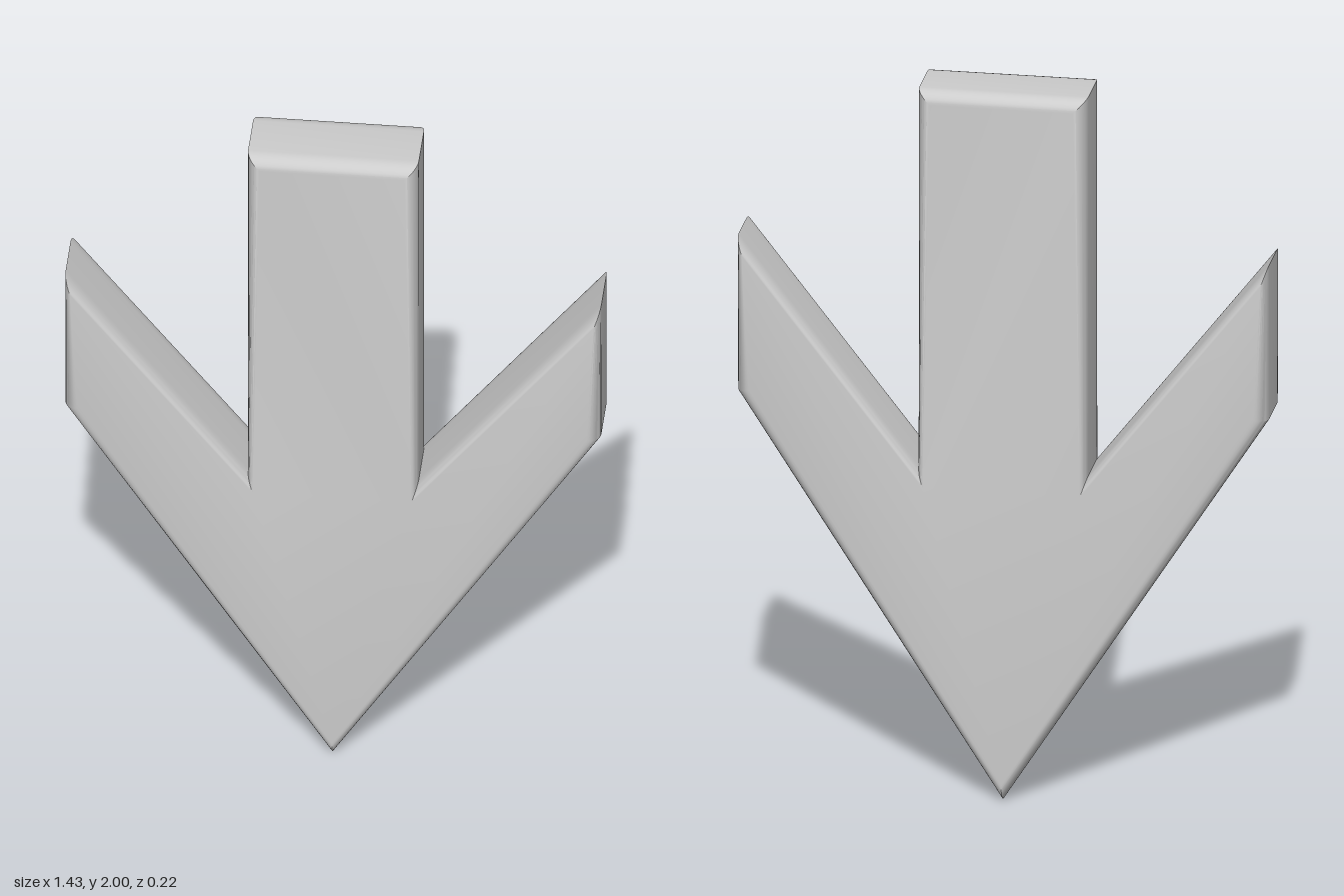
import * as THREE from 'three';
import { toCreasedNormals } from 'three/addons/utils/BufferGeometryUtils.js';

export function createModel() {
  const group = new THREE.Group();
  group.name = 'downArrow';

  // Half outline from the tip up to the top of the shaft, then mirrored
  const half = [[0.715, 1.12], [0.715, 1.555], [0.228, 0.93], [0.228, 2]];
  const mirrored = half.map(([x, y]) => [-x, y]).reverse();
  const outline = [[0, 0.005], ...half, ...mirrored];
  const shape = new THREE.Shape(outline.map(([x, y]) => new THREE.Vector2(x, y)));

  // Thick plate with rounded front and back rims
  const halfDepth = 0.108;
  const bevelSize = 0.035;
  const bevelThickness = 0.045;
  const geometry = new THREE.ExtrudeGeometry(shape, {
    depth: 2 * (halfDepth - bevelThickness),
    bevelEnabled: true,
    bevelSize,
    bevelOffset: -bevelSize,
    bevelThickness,
    bevelSegments: 7,
  });
  geometry.translate(0, 0, bevelThickness - halfDepth);

  const arrow = new THREE.Mesh(
    toCreasedNormals(geometry, 0.5),
    new THREE.MeshStandardMaterial({ color: 0xcccccc })
  );
  arrow.name = 'arrowPlate';
  group.add(arrow);
  return group;
}
